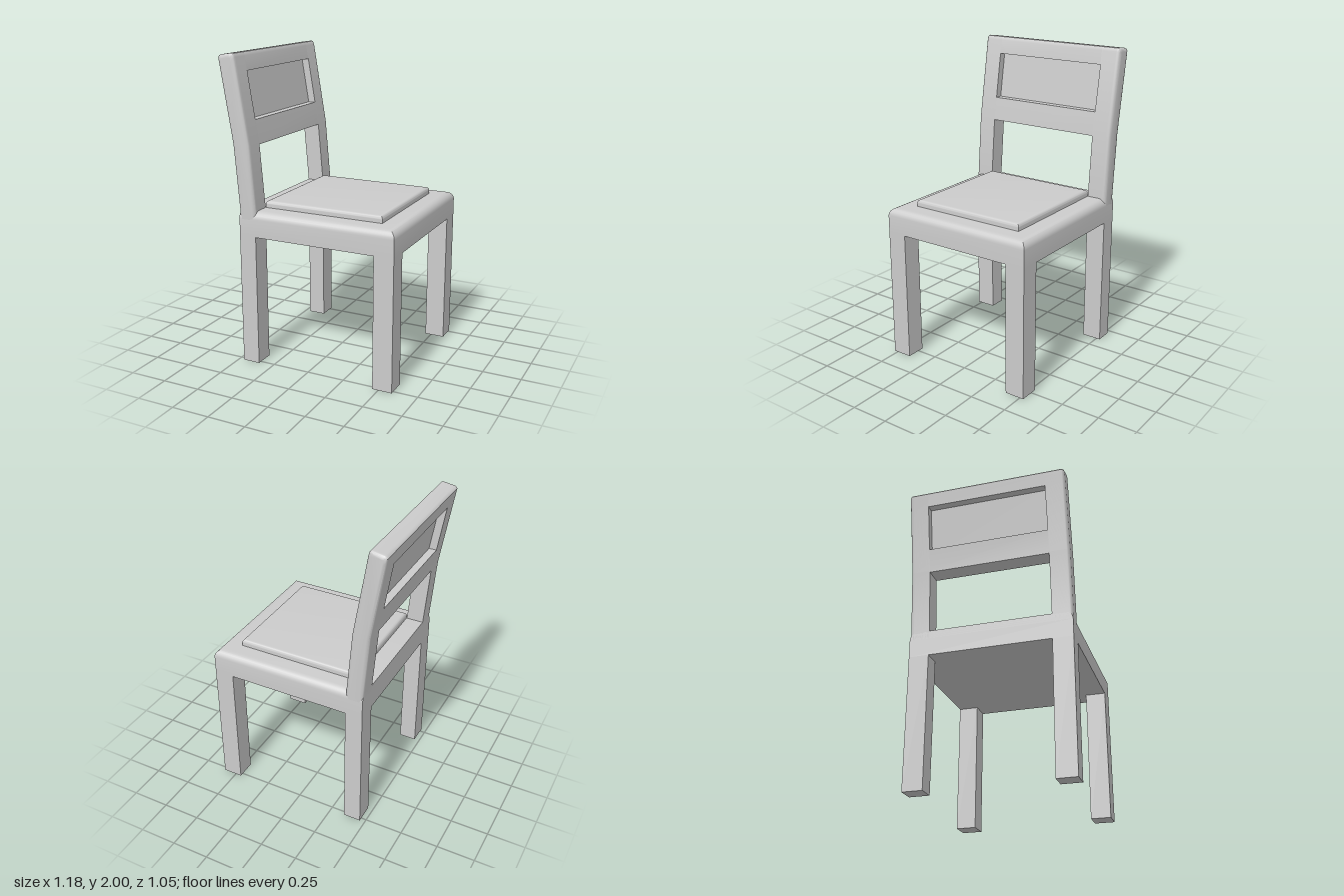
import * as THREE from 'three';
import { toCreasedNormals } from 'three/addons/utils/BufferGeometryUtils.js';

const material = new THREE.MeshStandardMaterial({ color: 0xcccccc });
const HALF = 0.525;      // half width of the chair
const INNER = 0.395;     // half width between the posts
const THICK = 0.115;     // backrest thickness

function add(group, name, geometry) {
  const mesh = new THREE.Mesh(toCreasedNormals(geometry, 0.6), material);
  mesh.name = name;
  group.add(mesh);
  return mesh;
}

// Box with rounded upper edges; the back edge may stay square
function roundedSlab(x0, x1, z, y0, y1, r, roundBack) {
  const steps = 6, pos = [], index = [];
  const ring = (inset, y) => {
    const back = x0 + (roundBack ? inset : 0), front = x1 - inset, side = z - inset;
    pos.push(front, y, side, front, y, -side, back, y, -side, back, y, side);
  };
  ring(0, y0);
  for (let i = 0; i <= steps; i++) {
    const a = (i / steps) * Math.PI / 2;
    ring(r * (1 - Math.cos(a)), y1 - r + r * Math.sin(a));
  }
  const rings = pos.length / 12;
  for (let k = 0; k < rings - 1; k++) {
    for (let j = 0; j < 4; j++) {
      const a = k * 4 + j, b = k * 4 + (j + 1) % 4;
      index.push(a, b, b + 4, a, b + 4, a + 4);
    }
  }
  const t = (rings - 1) * 4;
  index.push(t, t + 1, t + 2, t, t + 2, t + 3, 0, 2, 1, 0, 3, 2);
  const g = new THREE.BufferGeometry();
  g.setAttribute('position', new THREE.Float32BufferAttribute(pos, 3));
  g.setIndex(index);
  return g;
}

// Front face of the backrest: it leans gently, then more above the bend
function frontX(y) {
  if (y < 1.02) return -0.35;
  return y < 1.44 ? -0.35 - 0.035 * (y - 1.02) / 0.42 : -0.385 - 0.093 * (y - 1.44) / 0.56;
}

// Side profile of a backrest piece between two heights
function profile(y0, y1, front = 0, thick = THICK) {
  const f = y => frontX(y) - front;
  const levels = [y0, 1.02, 1.44].filter((y, i) => i === 0 || (y > y0 && y < y1));
  const points = levels.map(y => [f(y), y]);
  if (y1 >= 2) {
    // rounded top
    points.push([f(1.975), 1.975], [-0.479, 1.99], [-0.484, 1.997], [-0.495, 2],
      [-0.57, 1.989], [-0.582, 1.984], [-0.589, 1.975], [f(1.955) - thick, 1.955]);
  } else {
    points.push([f(y1), y1], [f(y1) - thick, y1]);
  }
  levels.reverse().forEach(y => points.push([f(y) - thick, y]));
  return new THREE.Shape(points.map(p => new THREE.Vector2(...p)));
}

const extrude = (shape, z0, z1, steps = 1) =>
  new THREE.ExtrudeGeometry(shape, { depth: z1 - z0, steps, bevelEnabled: false }).translate(0, 0, z0);

// Post whose outer edges curve inward
function post(side) {
  const z0 = side > 0 ? INNER : -HALF;
  const g = extrude(profile(0.97, 2), z0, z0 + HALF - INNER, 24);
  const p = g.attributes.position, r = 0.02;
  for (let i = 0; i < p.count; i++) {
    const d = HALF - Math.abs(p.getZ(i));
    if (d >= r) continue;
    const drop = r - Math.sqrt(Math.max(0, r * r - (r - d) ** 2));
    const x = p.getX(i), y = p.getY(i), mid = frontX(y) - THICK / 2;
    p.setX(i, x - drop * THREE.MathUtils.clamp((x - mid) / (THICK / 2), -1, 1));
    if (y > 1.94) p.setY(i, y - drop);
  }
  return g;
}

export function createModel() {
  const chair = new THREE.Group();
  chair.name = 'chair';

  // Seat and its raised pad
  add(chair, 'seat', roundedSlab(-0.465, 0.59, HALF, 0.86, 1.025, 0.05, false));
  add(chair, 'seatPad', roundedSlab(-0.348, 0.458, INNER, 1.0, 1.07, 0.022, true));

  // Legs and backrest posts
  for (const side of [1, -1]) {
    const label = side > 0 ? 'left' : 'right';
    for (const [name, x0, x1] of [['FrontLeg', 0.46, 0.59], ['BackLeg', -0.465, -0.35]]) {
      const g = new THREE.BoxGeometry(x1 - x0, 0.86, HALF - INNER);
      g.translate((x0 + x1) / 2, 0.43, side * (HALF + INNER) / 2);
      add(chair, label + name, g);
    }
    add(chair, label + 'Post', post(side));
  }

  // Rails and the recessed panel between the posts
  add(chair, 'topRail', extrude(profile(1.885, 2), -INNER, INNER));
  add(chair, 'lowerRail', extrude(profile(1.43, 1.585), -INNER, INNER));
  add(chair, 'backPanel', extrude(profile(1.57, 1.9, 0.05, 0.015), -INNER, INNER));

  return chair;
}
